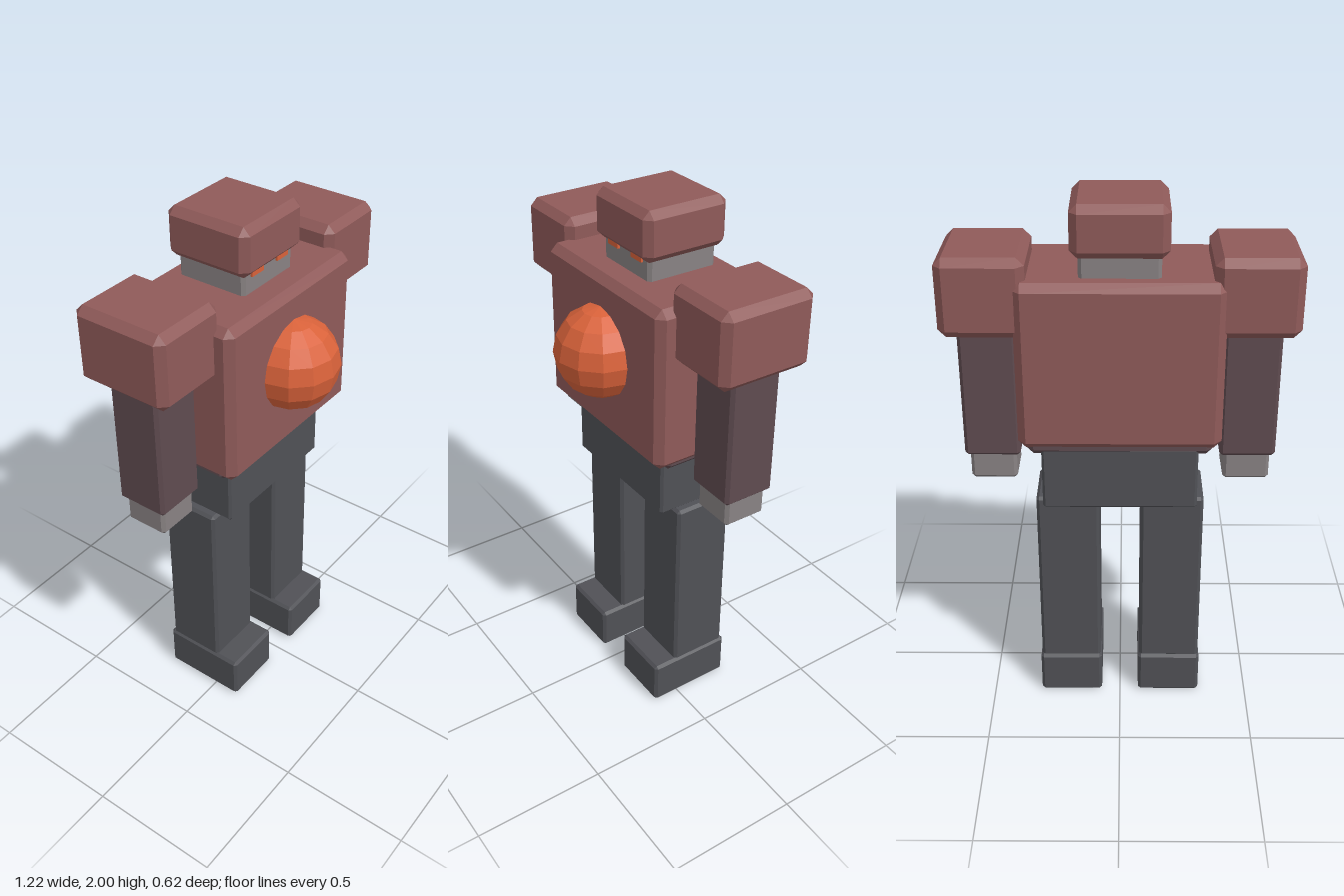
import * as THREE from 'three';
import { ConvexGeometry } from 'three/addons/geometries/ConvexGeometry.js';

const material = (name, color) => {
  const m = new THREE.MeshStandardMaterial({ color });
  m.name = name;
  return m;
};

// Box with flat chamfers, from its two extreme corners
function chamferBox([x0, y0, z0], [x1, y1, z1], bevel) {
  const half = [(x1 - x0) / 2, (y1 - y0) / 2, (z1 - z0) / 2];
  const points = [];
  for (const sx of [-1, 1]) for (const sy of [-1, 1]) for (const sz of [-1, 1]) {
    for (let axis = 0; axis < 3; axis++) {
      const [a, b, c] = half.map((h, i) => (i === axis ? h : h - bevel));
      points.push(new THREE.Vector3(sx * a, sy * b, sz * c));
    }
  }
  const geometry = new ConvexGeometry(points);
  geometry.translate((x0 + x1) / 2, (y0 + y1) / 2, (z0 + z1) / 2);
  return geometry;
}

export function createModel() {
  const armour = material('dusty red', 0x8f5a59);
  const sleeve = material('dark plum', 0x5f4b50);
  const metal = material('warm grey', 0x888283);
  const trousers = material('charcoal', 0x505156);
  const glow = material('orange', 0xd9623a);
  const model = new THREE.Group();
  model.name = 'robot';

  const add = (name, geometry, mat) => {
    const mesh = new THREE.Mesh(geometry, mat);
    mesh.name = name;
    model.add(mesh);
    return mesh;
  };
  const box = (name, min, max, bevel, mat) => add(name, chamferBox(min, max, bevel), mat);

  // Head
  box('helmet', [-0.165, 1.82, -0.272], [0.165, 2.0, 0.063], 0.027, armour);
  box('face', [-0.138, 1.72, -0.24], [0.138, 1.9, 0.035], 0.012, metal);

  // Body
  box('torso', [-0.355, 1.143, -0.308], [0.355, 1.75, 0.143], 0.028, armour);
  box('waist', [-0.325, 1.11, -0.285], [0.325, 1.2, 0.085], 0.022, sleeve);
  box('pelvis', [-0.277, 0.893, -0.28], [0.277, 1.135, 0.07], 0.009, trousers);

  // Round faceted chest core
  const core = new THREE.SphereGeometry(0.17, 12, 8).toNonIndexed();
  core.computeVertexNormals();
  core.translate(0, 1.47, 0.14);
  add('chestCore', core, glow);

  // Paired parts, measured on the +x side and mirrored
  for (const [side, s] of [['left', 1], ['right', -1]]) {
    const pair = (name, [x0, y0, z0], [x1, y1, z1], bevel, mat) =>
      box(side + name, [Math.min(s * x0, s * x1), y0, z0], [Math.max(s * x0, s * x1), y1, z1], bevel, mat);

    pair('Shoulder', [0.31, 1.55, -0.287], [0.608, 1.828, 0.078], 0.028, armour);
    pair('Arm', [0.357, 1.065, -0.203], [0.557, 1.6, -0.003], 0.012, sleeve);
    pair('Hand', [0.373, 0.963, -0.187], [0.54, 1.08, -0.02], 0.012, metal);
    pair('Leg', [0.076, 0.165, -0.218], [0.307, 0.897, 0.012], 0.011, trousers);
    pair('Foot', [0.072, 0, -0.228], [0.312, 0.175, 0.107], 0.011, trousers);

    // Eye slit just under the helmet rim
    const eye = new THREE.BoxGeometry(0.062, 0.026, 0.009);
    eye.translate(s * 0.07, 1.823, 0.039);
    add(side + 'Eye', eye, glow);
  }
  return model;
}
